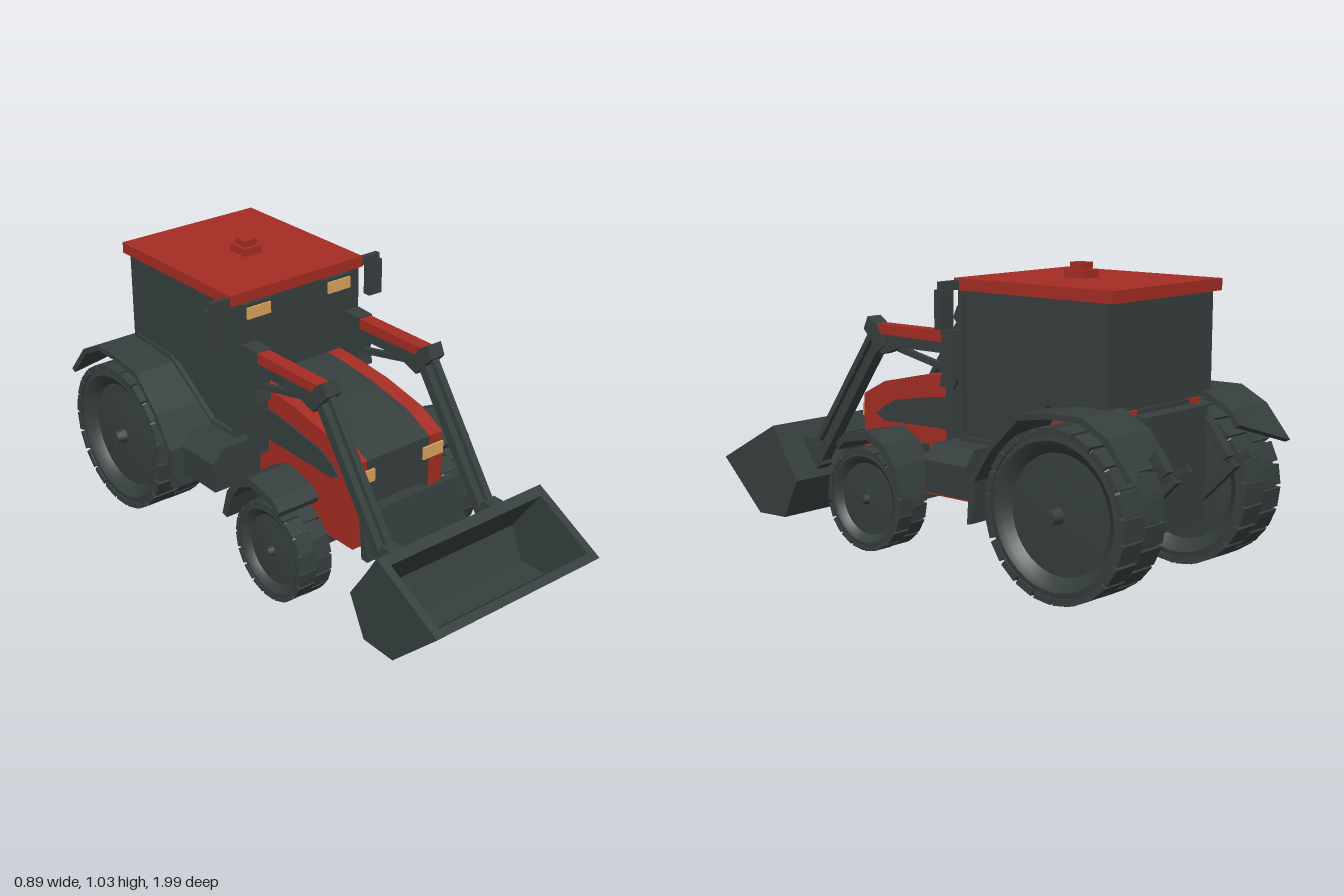
import * as THREE from 'three';
import { toCreasedNormals } from 'three/addons/utils/BufferGeometryUtils.js';

const mat = (name, color) => {
  const m = new THREE.MeshStandardMaterial({ color });
  m.name = name;
  return m;
};

export function createModel() {
  const red = mat('red paint', 0xa52d23);
  const dark = mat('dark grey', 0x363f3e);
  const amber = mat('amber lamp', 0xdca55c);
  const model = new THREE.Group();
  model.name = 'loaderTractor';
  const body = new THREE.Group();
  body.name = 'body';
  body.position.x = 0.008;
  model.add(body);

  const add = (name, geo, material, parent = body) => {
    const mesh = new THREE.Mesh(geo, material);
    mesh.name = name;
    parent.add(mesh);
    return mesh;
  };
  // box from its limits
  const box = (name, m, x0, x1, y0, y1, z0, z1) => {
    const g = new THREE.BoxGeometry(x1 - x0, y1 - y0, z1 - z0);
    g.translate((x0 + x1) / 2, (y0 + y1) / 2, (z0 + z1) / 2);
    return add(name, g, m);
  };
  // side outline [z, y] swept across x
  const sweepGeo = (pts, x0, x1) => {
    const shape = new THREE.Shape(pts.map(p => new THREE.Vector2(p[0], p[1])));
    const g = new THREE.ExtrudeGeometry(shape, { depth: x1 - x0, bevelEnabled: false });
    return g.rotateY(-Math.PI / 2).translate(x1, 0, 0);
  };
  const sweep = (name, m, pts, x0, x1) => add(name, sweepGeo(pts, x0, x1), m);
  // the same on both sides
  const span = (s, a, b) => (s > 0 ? [a, b] : [-b, -a]);
  const boxes = (name, m, a, b, ...r) => [1, -1].forEach(s => box(name, m, ...span(s, a, b), ...r));
  const sweeps = (name, m, pts, a, b) => [1, -1].forEach(s => sweep(name, m, pts, ...span(s, a, b)));
  // straight bar outline between two side points
  const bar = (z0, y0, z1, y1, t) => {
    const l = Math.hypot(z1 - z0, y1 - y0);
    const dz = -(y1 - y0) / l * t / 2, dy = (z1 - z0) / l * t / 2;
    return [[z0 + dz, y0 + dy], [z1 + dz, y1 + dy], [z1 - dz, y1 - dy], [z0 - dz, y0 - dy]];
  };
  // curved band outline: outer path and its inset towards a centre
  const band = (path, c, k) => [...path,
    ...path.slice().reverse().map(p => [c[0] + (p[0] - c[0]) * k, c[1] + (p[1] - c[1]) * k])];

  // bonnet and chassis: dark core between two red sides
  const hood = [[0.405, 0.21], [0.405, 0.53], [0.3, 0.585], [0.12, 0.625], [-0.08, 0.648],
    [-0.2, 0.65], [-0.5, 0.6], [-0.77, 0.6], [-0.77, 0.21]];
  sweep('bonnetCore', dark, hood, -0.14, 0.14);
  sweeps('bonnetSide', red, hood, 0.14, 0.2);
  sweeps('bonnetVent', dark, [[0.335, 0.465], [0.3, 0.495], [0.24, 0.525], [0.08, 0.553],
    [-0.08, 0.572], [-0.08, 0.452], [0.3, 0.445]], 0.2, 0.206);
  boxes('headlight', amber, 0.11, 0.2, 0.45, 0.495, 0.405, 0.413);
  box('frontHitch', dark, -0.1, 0.1, 0.24, 0.36, 0.4, 0.48);
  sweep('frontPlate', dark, [[0.48, 0.385], [0.465, 0.385], [0.48, 0.22], [0.51, 0.22]], -0.225, 0.225);
  box('frontAxle', dark, -0.3, 0.3, 0.16, 0.23, 0.18, 0.26);
  box('rearAxle', dark, -0.3, 0.3, 0.23, 0.34, -0.71, -0.6);

  // cab
  sweep('cab', dark, [[-0.14, 0.44], [-0.14, 0.945], [-0.76, 0.945], [-0.76, 0.6], [-0.52, 0.6], [-0.28, 0.44]], -0.26, 0.26);
  const sideFrame = new THREE.Shape([[-0.14, 0.44], [-0.14, 0.945], [-0.76, 0.945], [-0.76, 0.615],
    [-0.52, 0.6], [-0.28, 0.44]].map(p => new THREE.Vector2(...p)));
  sideFrame.holes.push(new THREE.Path([[-0.155, 0.455], [-0.155, 0.925], [-0.745, 0.925], [-0.745, 0.63],
    [-0.525, 0.62], [-0.285, 0.455]].map(p => new THREE.Vector2(...p))));
  const frameGeo = new THREE.ExtrudeGeometry(sideFrame, { depth: 0.018, bevelEnabled: false }).rotateY(-Math.PI / 2);
  [0.278, -0.26].forEach(x => add('cabSideFrame', frameGeo.clone().translate(x, 0, 0), dark));
  boxes('cabSideGlass', dark, 0.26, 0.27, 0.61, 0.93, -0.75, -0.15);
  boxes('cabPillar', dark, 0.252, 0.278, 0.6, 0.945, -0.15, -0.132);
  box('roof', red, -0.2925, 0.2925, 0.945, 0.985, -0.785, -0.128);
  box('beaconBase', red, -0.038, 0.038, 0.985, 1.012, -0.47, -0.385);
  box('beaconTop', red, -0.026, 0.026, 1.012, 1.036, -0.455, -0.4);
  boxes('workLightFrame', dark, 0.116, 0.239, 0.875, 0.938, -0.14, -0.125);
  boxes('workLight', amber, 0.128, 0.228, 0.885, 0.927, -0.125, -0.118);
  boxes('mirrorArm', dark, 0.27, 0.375, 0.948, 0.978, -0.15, -0.13);
  boxes('mirror', dark, 0.328, 0.386, 0.822, 0.952, -0.16, -0.128);

  // side tanks with sloping outer top edge
  [1, -1].forEach(s => {
    const shape = new THREE.Shape([[0.2, 0.28], [0.4, 0.28], [0.405, 0.39], [0.365, 0.44], [0.2, 0.44]]
      .map(p => new THREE.Vector2(p[0] * s, p[1])));
    const g = new THREE.ExtrudeGeometry(shape, { depth: 0.185, bevelEnabled: false });
    add('sideTank', g.translate(0, 0, -0.285), dark);
  });

  // rear fenders, with the inner rear corner cut back
  const rearArch = [[-0.315, 0.21], [-0.325, 0.36], [-0.4, 0.475], [-0.52, 0.595], [-0.65, 0.615],
    [-0.78, 0.617], [-0.88, 0.565], [-0.975, 0.45]];
  [1, -1].forEach(s => {
    const g = sweepGeo(band(rearArch, [-0.655, 0.29], 0.94), ...span(s, 0.22, 0.433));
    const p = g.attributes.position;
    for (let i = 0; i < p.count; i++) {
      if (Math.abs(p.getX(i)) < 0.3 && p.getZ(i) < -0.93) {
        p.setZ(i, p.getZ(i) + 0.06);
        p.setY(i, p.getY(i) + 0.07);
      }
    }
    g.computeVertexNormals();
    add('rearFender', g, dark);
  });

  // front fenders
  sweeps('frontFender', dark, band([[0.305, 0.395], [0.27, 0.43], [0.14, 0.455], [0.07, 0.42],
    [0.015, 0.35], [-0.015, 0.25]], [0.22, 0.195], 0.89), 0.265, 0.433);
  boxes('frontFenderStay', dark, 0.19, 0.3, 0.36, 0.39, 0.08, 0.11);

  // rear panel and lifting links
  box('rearPanel', dark, -0.165, 0.165, 0.2, 0.585, -0.825, -0.76);
  sweeps('liftStrut', dark, bar(-0.8, 0.56, -0.91, 0.42, 0.03), 0.148, 0.186);
  sweeps('liftArm', dark, bar(-0.8, 0.27, -0.94, 0.41, 0.03), 0.15, 0.18);
  sweeps('liftHook', dark, bar(-0.915, 0.405, -0.99, 0.45, 0.025), 0.16, 0.172);

  // loader frame
  sweeps('loaderPost', dark, [[-0.035, 0.8], [-0.11, 0.805], [-0.11, 0.64], [-0.09, 0.605],
    [-0.03, 0.61], [-0.04, 0.66]], 0.198, 0.26);
  boxes('loaderMount', dark, 0.19, 0.25, 0.4, 0.62, -0.11, -0.05);
  sweeps('upperArm', dark, [[0.3, 0.765], [-0.05, 0.76], [-0.05, 0.722], [0.17, 0.722], [0.26, 0.69]], 0.205, 0.252);
  sweeps('upperArmCover', red, [[0.28, 0.797], [-0.04, 0.797], [-0.04, 0.758], [0.28, 0.763]], 0.203, 0.254);
  sweeps('elbow', dark, [[0.32, 0.82], [0.275, 0.79], [0.24, 0.725], [0.27, 0.7], [0.34, 0.775]], 0.197, 0.26);
  sweeps('loaderRam', dark, bar(0.19, 0.715, -0.05, 0.665, 0.02), 0.218, 0.24);
  sweeps('lowerArm', dark, bar(0.275, 0.745, 0.605, 0.265, 0.035), 0.205, 0.25);
  sweeps('lowerRam', dark, bar(0.315, 0.775, 0.645, 0.295, 0.02), 0.215, 0.24);
  sweeps('bucketBracket', dark, [[0.61, 0.345], [0.67, 0.345], [0.68, 0.29], [0.62, 0.22], [0.58, 0.25]], 0.2, 0.256);

  // bucket: open shell with end plates
  const shell = [[0.998, 0.24], [0.8, 0.055], [0.66, 0.06], [0.59, 0.205], [0.665, 0.315], [0.715, 0.395],
    [0.75, 0.376], [0.69, 0.295], [0.628, 0.205], [0.682, 0.088], [0.79, 0.085], [0.97, 0.255]];
  sweep('bucketShell', dark, shell, -0.34, 0.34);
  sweeps('bucketEnd', dark, shell.slice(0, 6), 0.338, 0.368);

  // wheels
  const wheel = (name, s, x0, x1, y, z, R, lugs) => {
    const g = new THREE.Group();
    const w = x1 - x0;
    g.name = name;
    g.position.set(s * (x0 + x1) / 2 - 0.0075, y, z);
    const half = [[0, 0.36], [0.25, 0.36], [0.7, 0.3], [0.77, 0.42], [0.85, 0.48], [0.93, 0.46], [0.965, 0.4]];
    const profile = [...half.map(p => [p[0], -p[1]]), ...half.slice().reverse()]
      .map(p => new THREE.Vector2(p[0] * R, p[1] * w));
    const tyre = new THREE.LatheGeometry(profile, 40).rotateZ(-Math.PI / 2);
    add('tyre', toCreasedNormals(tyre, 0.5), dark, g);
    const hub = new THREE.CylinderGeometry(R * 0.07, R * 0.1, w * 0.18, 12).rotateZ(-s * Math.PI / 2);
    add('hub', hub.translate(s * w * 0.44, 0, 0), dark, g);
    // two staggered rows of tread blocks
    for (let i = 0; i < lugs * 2; i++) {
      const a = i * Math.PI / lugs;
      const lug = new THREE.BoxGeometry(w * 0.49, R * 0.08, R * 5.3 / lugs);
      lug.translate((i % 2 ? 1 : -1) * w * 0.25, R * 0.95, 0).rotateX(a);
      add('treadBlock', lug, dark, g);
    }
    model.add(g);
  };
  [1, -1].forEach(s => {
    wheel('rearWheel', s, 0.222, 0.432, 0.287, -0.655, 0.281, 22);
    wheel('frontWheel', s, 0.27, 0.402, 0.198, 0.22, 0.181, 18);
  });
  return model;
}
